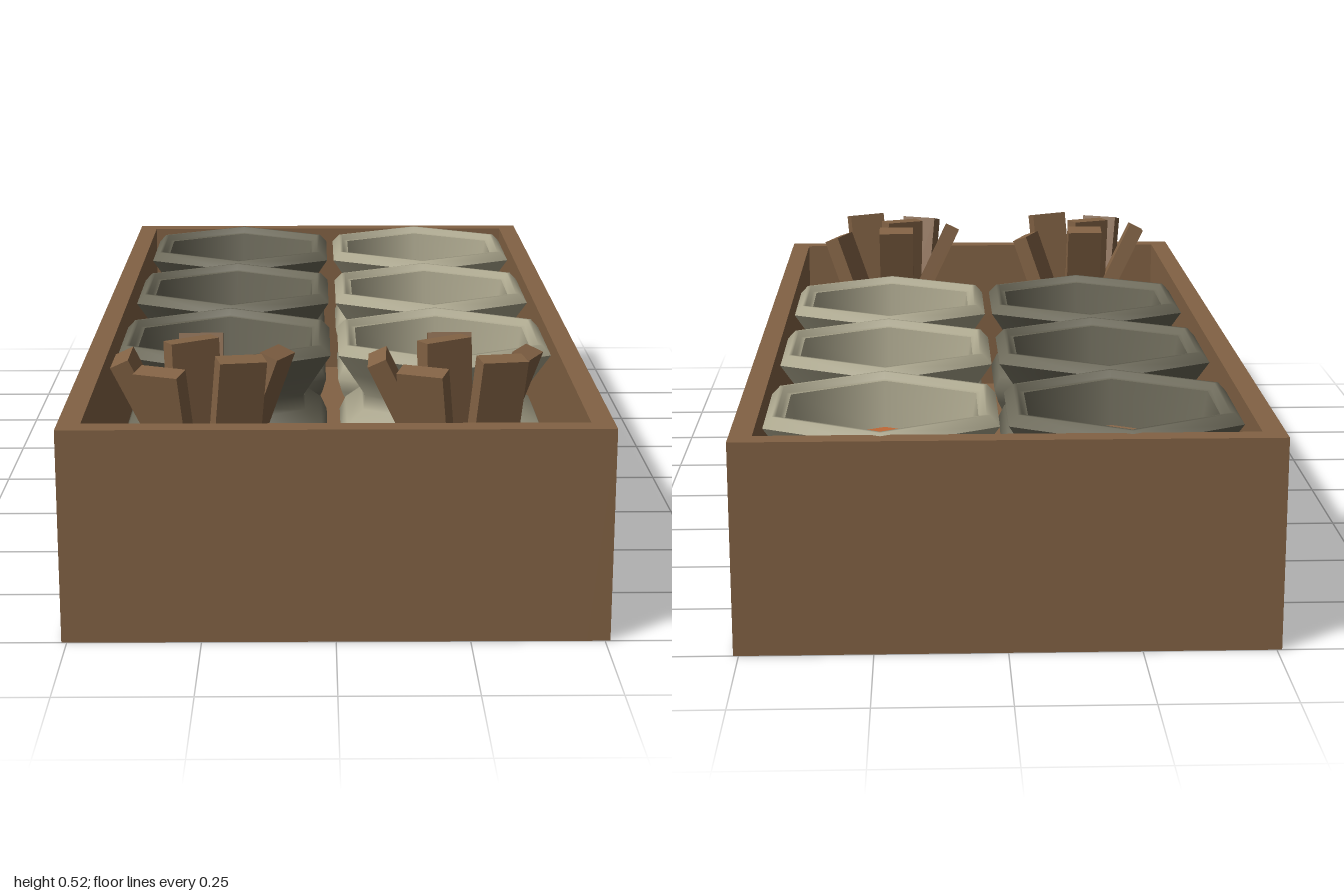
import * as THREE from 'three';

const mat = (name, color) => {
  const m = new THREE.MeshStandardMaterial({ color });
  m.name = name;
  return m;
};

// Six-sided turned shape with points toward +z and -z
const hexLathe = (profile) =>
  new THREE.LatheGeometry(profile.map(([r, y]) => new THREE.Vector2(r, y)), 6);

export function createModel() {
  const wood = mat('wood', 0x826244);
  const darkClay = mat('dark clay', 0x6b6858);
  const paleClay = mat('pale clay', 0xaaa58c);
  const soup = mat('orange soup', 0xb9622e);

  const model = new THREE.Group();
  model.name = 'bowlCrate';
  const add = (parent, name, geo, material, x = 0, y = 0, z = 0) => {
    const mesh = new THREE.Mesh(geo, material);
    mesh.name = name;
    mesh.position.set(x, y, z);
    parent.add(mesh);
    return mesh;
  };

  // Open crate
  const H = 0.41, T = 0.043;
  for (const s of [-1, 1]) {
    add(model, s > 0 ? 'leftWall' : 'rightWall', new THREE.BoxGeometry(T, H, 2), wood, s * (0.51 - T / 2), H / 2, 0);
    add(model, s > 0 ? 'frontWall' : 'backWall', new THREE.BoxGeometry(1.02 - 2 * T, H, T), wood, 0, H / 2, s * (1 - T / 2));
  }
  add(model, 'crateFloor', new THREE.BoxGeometry(1.02 - 2 * T, 0.02, 2 - 2 * T), wood, 0, 0.01, 0);

  // Stacked hexagonal bowls: outside of the stack, stepped rim, inner wall
  const stackGeo = hexLathe([
    [0.16, 0.02], [0.24, 0.18], [0.25, 0.21], [0.235, 0.24], [0.195, 0.27], [0.19, 0.3], [0.225, 0.35], [0.257, 0.395],
  ]);
  const rimGeo = hexLathe([[0.257, 0.395], [0.237, 0.415], [0.228, 0.415], [0.222, 0.402], [0.212, 0.4]]);
  const innerGeo = hexLathe([[0.212, 0.4], [0.193, 0.3]]);
  const fillGeo = hexLathe([[0.195, 0.308], [0.15, 0.285], [0, 0.276]]);
  const chunks = [[-0.06, -0.115, 0.03], [0.105, -0.1, 0.022], [-0.115, 0.07, 0.02], [0, -0.02, 0.018], [0.05, -0.06, 0.014]];
  for (const z of [-0.725, -0.228, 0.27]) {
    for (const full of [false, true]) {
      const clay = full ? paleClay : darkClay;
      const bowl = new THREE.Group();
      bowl.name = full ? 'soupBowl' : 'emptyBowl';
      bowl.position.set(full ? 0.234 : -0.228, 0, z);
      add(bowl, 'bowlStack', stackGeo, clay);
      add(bowl, 'rim', rimGeo, clay);
      add(bowl, 'innerWall', innerGeo, clay);
      add(bowl, full ? 'soup' : 'bowlBottom', fillGeo, full ? soup : wood);
      if (full) {
        for (const [cx, cz, r] of chunks) {
          add(bowl, 'soupChunk', new THREE.CylinderGeometry(r, r, 0.02, 6), paleClay, cx, 0.286, cz);
        }
      }
      model.add(bowl);
    }
  }

  // Wooden cups holding leaning sticks: [foot x, foot z], [tip x, y, z], width, turn
  const cupGeo = hexLathe([[0.14, 0.02], [0.23, 0.28], [0.235, 0.3]]);
  const cupInsideGeo = hexLathe([[0.235, 0.3], [0.21, 0.3], [0.19, 0.25], [0.13, 0.19], [0, 0.18]]);
  const sticks = [
    [[0.04, -0.09], [0.145, 0.48, -0.055], 0.085, 1.15],
    [[-0.005, -0.01], [-0.005, 0.505, -0.11], 0.085, 0],
    [[0.0, 0.0], [-0.15, 0.49, 0.02], 0.08, 1.5],
    [[-0.01, -0.015], [-0.02, 0.515, -0.02], 0.1, 0.5],
    [[-0.04, 0.08], [-0.07, 0.495, 0.15], 0.09, -0.4],
    [[0.05, 0.06], [0.08, 0.51, 0.115], 0.09, 0.3],
  ];
  for (const x of [-0.255, 0.23]) {
    const holder = new THREE.Group();
    holder.name = 'stickCup';
    holder.position.set(x, 0, 0.76);
    add(holder, 'cup', cupGeo, wood);
    add(holder, 'cupInside', cupInsideGeo, wood);
    for (const [[fx, fz], [tx, ty, tz], w, turn] of sticks) {
      const foot = new THREE.Vector3(fx, 0.18, fz);
      const tip = new THREE.Vector3(tx, ty, tz);
      const dir = tip.clone().sub(foot);
      const stick = add(holder, 'stick', new THREE.BoxGeometry(w, dir.length(), 0.038), wood);
      stick.position.copy(foot).add(tip).multiplyScalar(0.5);
      stick.quaternion.setFromUnitVectors(new THREE.Vector3(0, 1, 0), dir.normalize());
      stick.rotateY(turn);
    }
    model.add(holder);
  }

  return model;
}
